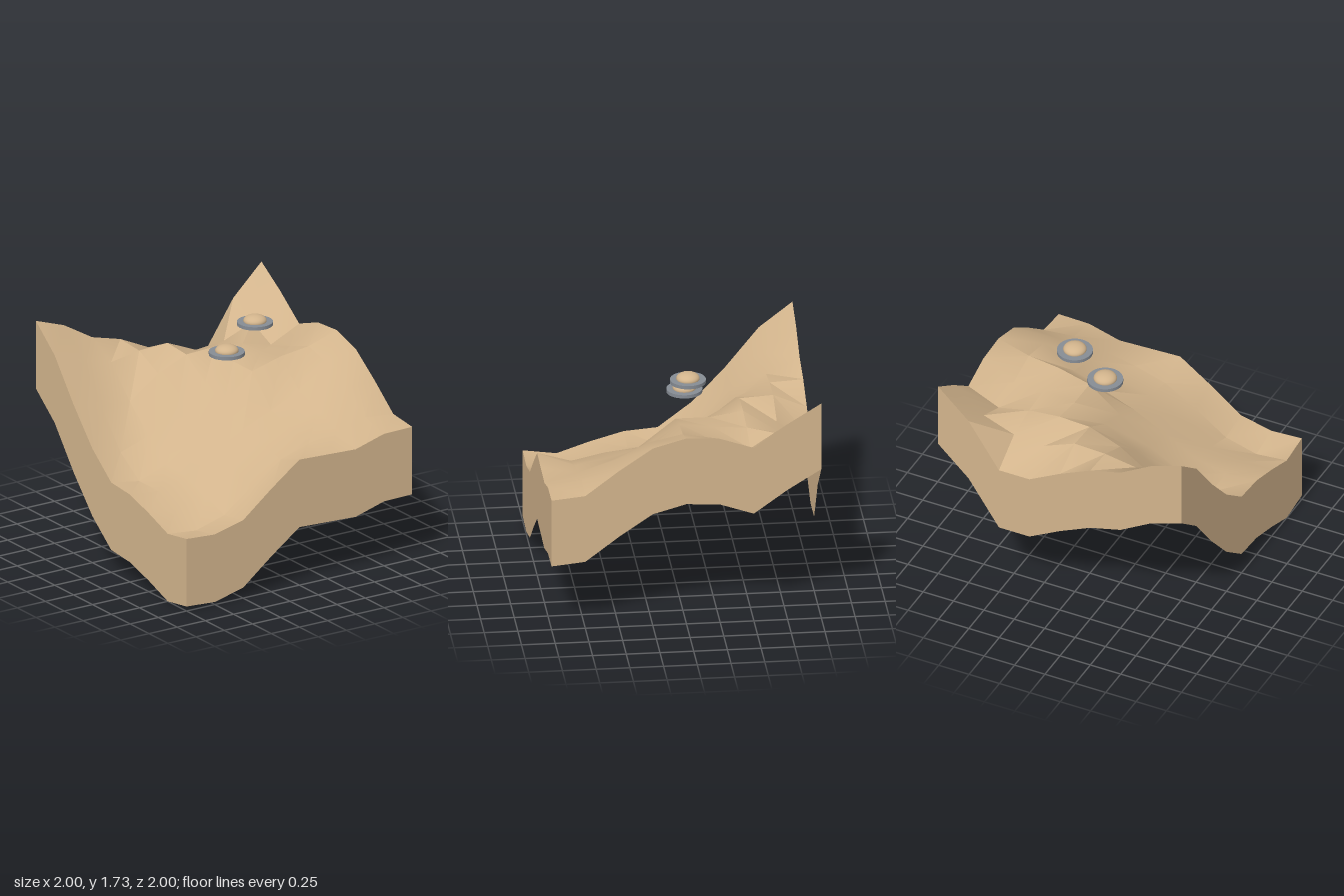
import * as THREE from 'three';
import { toCreasedNormals } from 'three/addons/utils/BufferGeometryUtils.js';

const N = 8;          // grid cells per side
const SKIRT = 0.53;   // height of the side walls

// Ground heights, one row per z from back (-1) to front (+1), x from -1 to +1
const HEIGHTS = [
  [1.675, 1.59, 1.445, 1.38, 1.265, 1.13, 1.13, 1.50, 1.735],
  [1.48, 1.39, 1.325, 1.365, 1.375, 1.27, 1.29, 1.385, 1.58],
  [1.17, 1.10, 1.09, 1.26, 1.36, 1.37, 1.345, 1.285, 1.40],
  [0.90, 0.82, 0.90, 1.06, 1.215, 1.33, 1.36, 1.35, 1.485],
  [0.71, 0.67, 0.76, 0.915, 1.13, 1.33, 1.395, 1.425, 1.50],
  [0.69, 0.67, 0.725, 0.87, 1.00, 1.10, 1.20, 1.37, 1.43],
  [0.62, 0.61, 0.66, 0.83, 0.97, 1.037, 1.13, 1.24, 1.26],
  [0.535, 0.51, 0.58, 0.76, 0.915, 0.99, 1.04, 1.095, 1.07],
  [0.57, 0.555, 0.615, 0.81, 0.99, 0.98, 0.97, 1.04, 1.045],
];

const coord = (i) => -1 + (2 * i) / N;
const point = (ix, iz) => [coord(ix), HEIGHTS[iz][ix], coord(iz)];

// Rolling top surface
function groundGeometry() {
  const geo = new THREE.PlaneGeometry(2, 2, N, N);
  geo.rotateX(-Math.PI / 2);
  const pos = geo.attributes.position;
  for (let i = 0; i < pos.count; i++) {
    pos.setY(i, HEIGHTS[Math.floor(i / (N + 1))][i % (N + 1)]);
  }
  return toCreasedNormals(geo, 0.5);
}

// Vertical wall hanging from one edge of the ground
function wallGeometry(edge) {
  const verts = [];
  const index = [];
  edge.forEach(([x, y, z], i) => {
    verts.push(x, y, z, x, y - SKIRT, z);
    if (i < N) {
      const a = 2 * i;
      index.push(a, a + 1, a + 2, a + 1, a + 3, a + 2);
    }
  });
  const geo = new THREE.BufferGeometry();
  geo.setAttribute('position', new THREE.Float32BufferAttribute(verts, 3));
  geo.setIndex(index);
  geo.computeVertexNormals();
  return geo;
}

export function createModel() {
  const model = new THREE.Group();
  model.name = 'terrainWithSaucers';

  const sand = new THREE.MeshStandardMaterial({ color: 0xd2b48c, side: THREE.DoubleSide });
  sand.name = 'sand';
  const metal = new THREE.MeshStandardMaterial({ color: 0x868c94 });
  metal.name = 'greyMetal';

  const add = (parent, name, geo, mat, y = 0) => {
    const mesh = new THREE.Mesh(geo, mat);
    mesh.name = name;
    mesh.position.y = y;
    parent.add(mesh);
    return mesh;
  };

  add(model, 'ground', groundGeometry(), sand);

  // Walls, each run counter-clockwise so that it faces outward
  const steps = Array.from({ length: N + 1 }, (_, i) => i);
  const walls = {
    frontWall: (i) => point(i, N),
    leftWall: (i) => point(N, N - i),
    backWall: (i) => point(N - i, 0),
    rightWall: (i) => point(0, i),
  };
  for (const [name, at] of Object.entries(walls)) {
    add(model, name, wallGeometry(steps.map(at)), sand);
  }

  // Two hovering saucers: a flat disc with a squashed ball through it
  const disc = new THREE.CylinderGeometry(0.133, 0.133, 0.026, 40);
  const dome = new THREE.SphereGeometry(0.087, 32, 20);
  dome.scale(1, 0.53, 1);
  [[0.08, 1.484], [0.33, 1.668]].forEach(([x, y], i) => {
    const saucer = new THREE.Group();
    saucer.name = `saucer${i + 1}`;
    add(saucer, 'disc', disc, metal);
    add(saucer, 'dome', dome, sand, 0.018);
    saucer.position.set(x, y, -0.083);
    model.add(saucer);
  });

  return model;
}
